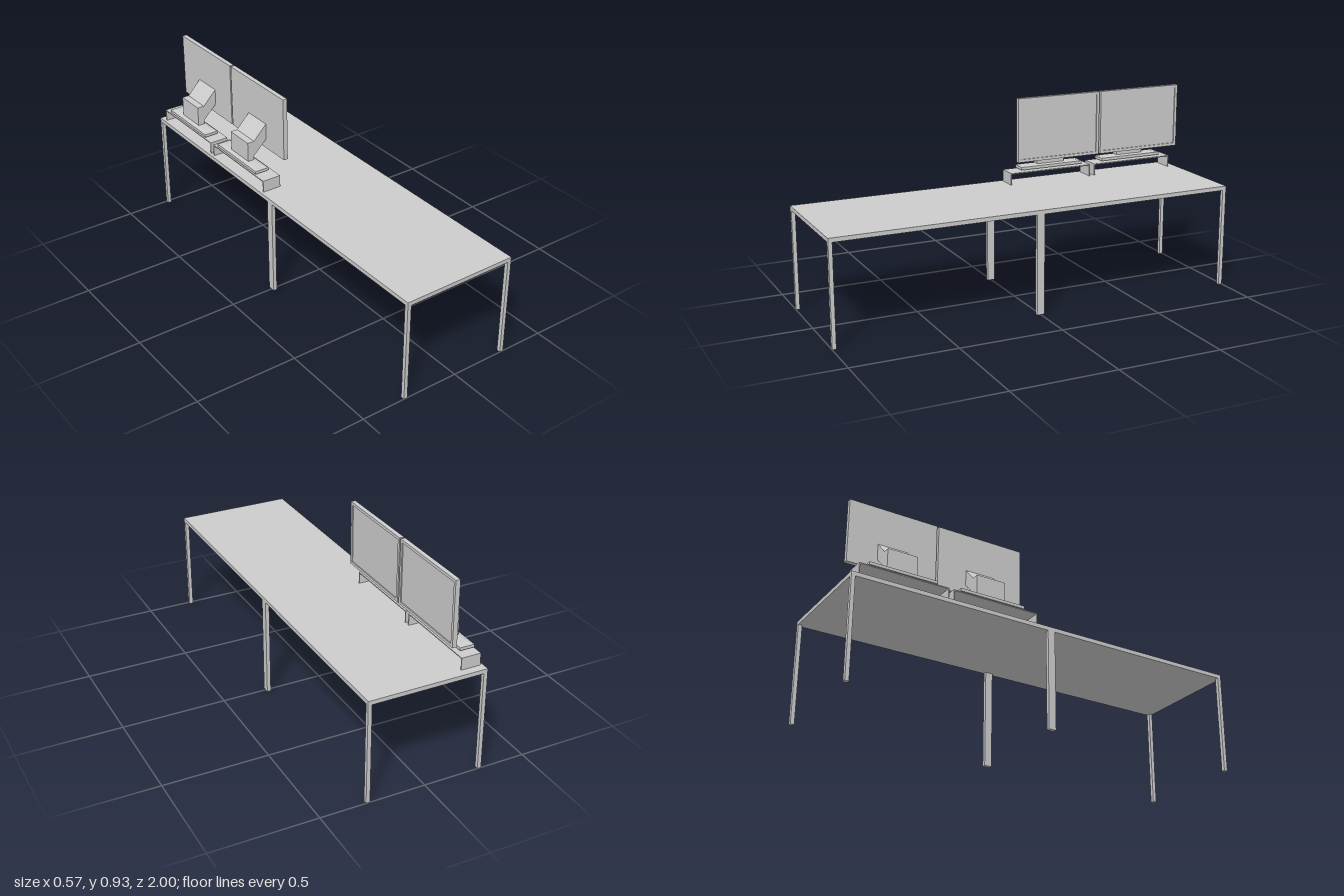
import * as THREE from 'three';

const material = new THREE.MeshStandardMaterial({ color: 0xcccccc, flatShading: true });

function add(parent, name, geometry) {
  const mesh = new THREE.Mesh(geometry, material);
  mesh.name = name;
  parent.add(mesh);
  return mesh;
}

// Box given by its min and max corners
function box(parent, name, [x0, y0, z0], [x1, y1, z1]) {
  const mesh = add(parent, name, new THREE.BoxGeometry(x1 - x0, y1 - y0, z1 - z0));
  mesh.position.set((x0 + x1) / 2, (y0 + y1) / 2, (z0 + z1) / 2);
  return mesh;
}

function polygon(points, Type = THREE.Shape) {
  return new Type(points.map(([x, y]) => new THREE.Vector2(x, y)));
}

const rect = (w, h) => [[-w, -h], [w, -h], [w, h], [-w, h]];

// One desk, centred on its own z, with a leg at each corner
function makeDesk() {
  const desk = new THREE.Group();
  const hx = 0.284, hz = 0.5, leg = 0.0185;
  box(desk, 'deskTop', [-hx, 0.48, -hz], [hx, 0.5, hz]);
  for (const sx of [-1, 1]) {
    for (const sz of [-1, 1]) {
      const mesh = add(desk, 'leg', new THREE.BoxGeometry(leg, 0.48, leg));
      mesh.position.set(sx * (hx - leg / 2), 0.24, sz * (hz - leg / 2));
    }
  }
  return desk;
}

// Open shelf: a thin top on two end panels
function makeRiser() {
  const riser = new THREE.Group();
  const x0 = -0.271, x1 = -0.177, hz = 0.2175, t = 0.005;
  box(riser, 'riserTop', [x0, 0.553, -hz], [x1, 0.558, hz]);
  box(riser, 'riserEnd', [x0, 0.5, -hz], [x1, 0.553, -hz + t]);
  box(riser, 'riserEnd', [x0, 0.5, hz - t], [x1, 0.553, hz]);
  return riser;
}

// Monitor facing +x on a bent arm and a flat foot
function makeMonitor() {
  const monitor = new THREE.Group();
  monitor.name = 'monitor';

  // Foot slab with a sloped cap
  box(monitor, 'foot', [-0.268, 0.563, -0.166], [-0.198, 0.577, 0.166]);
  const capGeometry = new THREE.BoxGeometry(0.07, 0.006, 0.332);
  const p = capGeometry.attributes.position;
  for (let i = 0; i < p.count; i++) {
    if (p.getY(i) > 0) p.setXYZ(i, p.getX(i) * 0.45, p.getY(i), p.getZ(i) * 0.78);
  }
  capGeometry.computeVertexNormals();
  add(monitor, 'footCap', capGeometry).position.set(-0.233, 0.58, 0);

  // Arm: side profile extruded across z
  const armProfile = polygon([
    [-0.248, 0.58], [-0.215, 0.58], [-0.215, 0.602], [-0.144, 0.672],
    [-0.144, 0.75], [-0.213, 0.679], [-0.248, 0.679],
  ]);
  const arm = new THREE.ExtrudeGeometry(armProfile, { depth: 0.146, bevelEnabled: false });
  add(monitor, 'arm', arm.translate(0, 0, -0.073));

  // Bezel frame around a slightly recessed screen
  const hz = 0.219, hy = 0.1555, cy = 0.7775, rim = 0.014;
  const frame = polygon(rect(hz, hy));
  frame.holes.push(polygon(rect(hz - rim, hy - rim), THREE.Path));
  const bezel = add(monitor, 'bezel', new THREE.ExtrudeGeometry(frame, { depth: 0.005, bevelEnabled: false }));
  bezel.rotation.y = Math.PI / 2;
  bezel.position.set(-0.128, cy, 0);
  box(monitor, 'screen', [-0.145, cy - hy, -hz], [-0.128, cy + hy, hz]);
  return monitor;
}

export function createModel() {
  const model = new THREE.Group();
  model.name = 'deskWithMonitors';

  for (const z of [-0.5, 0.5]) {
    const desk = makeDesk();
    desk.name = 'desk';
    desk.position.z = z;
    model.add(desk);
  }

  // Two monitors side by side, each over its own riser
  for (const [riserZ, monitorZ] of [[-0.286, -0.301], [-0.744, -0.748]]) {
    const riser = makeRiser();
    riser.name = 'riser';
    riser.position.z = riserZ;
    const monitor = makeMonitor();
    monitor.position.z = monitorZ;
    model.add(riser, monitor);
  }
  return model;
}
